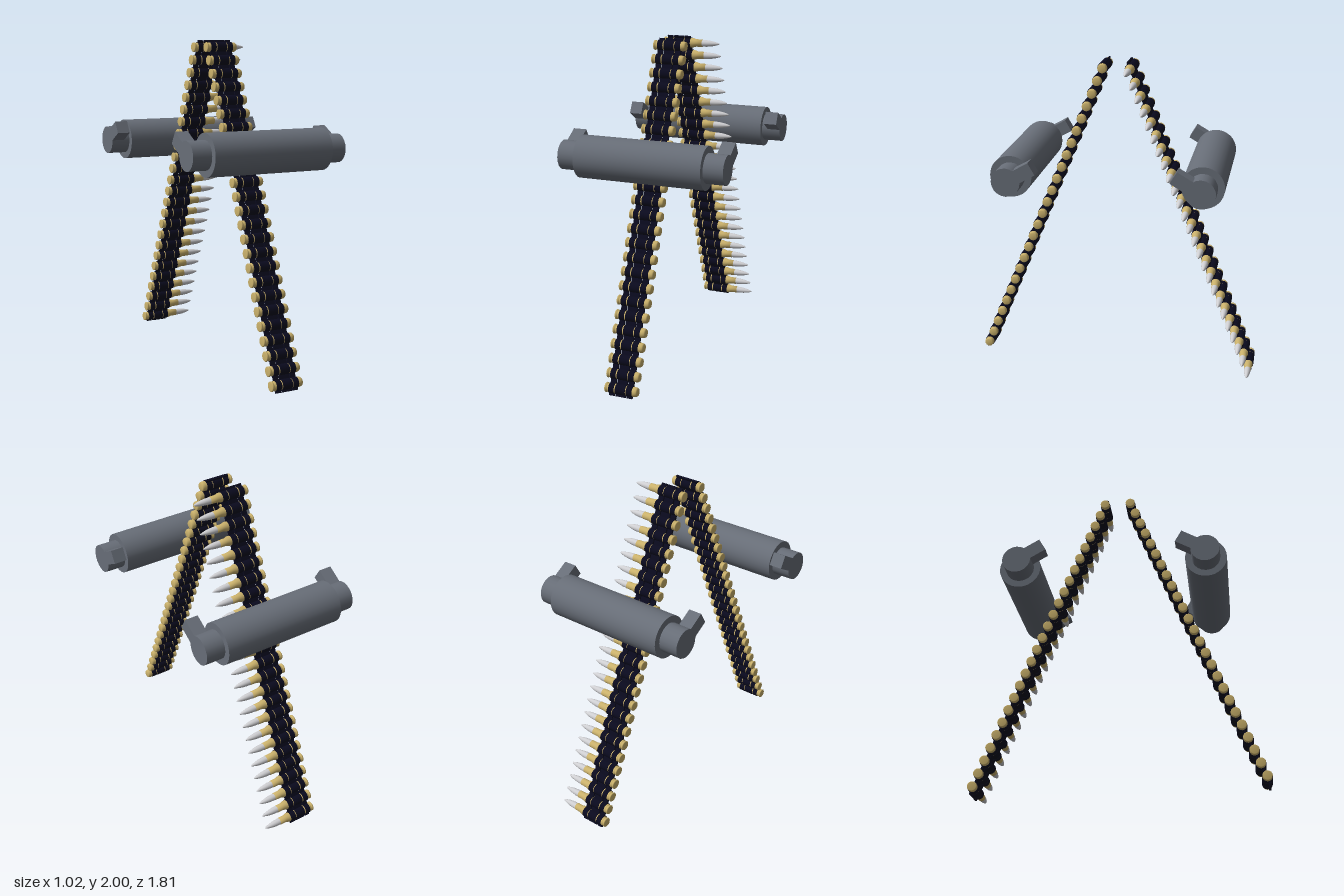
import * as THREE from 'three';

const material = (name, color) => {
  const m = new THREE.MeshStandardMaterial({ color });
  m.name = name;
  return m;
};
const steel = material('grey steel', 0x686e78);
const brass = material('brass', 0xcbb26c);
const silver = material('silver', 0xcfcfd2);
const navy = material('dark navy', 0x0a0a1e);

function part(name, geometry, mat, x = 0, y = 0, z = 0) {
  const mesh = new THREE.Mesh(geometry, mat);
  mesh.name = name;
  mesh.position.set(x, y, z);
  return mesh;
}

// Turned part lying along +x, from [x, radius] pairs
function turned(profile, sides = 16) {
  const pts = profile.map(([x, r]) => new THREE.Vector2(r, x));
  return new THREE.LatheGeometry(pts, sides).rotateZ(-Math.PI / 2);
}
const rod = (r, length, sides) =>
  new THREE.CylinderGeometry(r, r, length, sides).rotateZ(Math.PI / 2);

const COUNT = 25;
const TILT = Math.atan(0.4125);
const LENGTH = 2 / Math.cos(TILT) - 0.004;
const PITCH = 0.0798 / Math.cos(TILT);
const STRIPS = [[-0.102, -0.068], [-0.06, 0.004], [0.01, 0.046]];

const head = [[-0.13, 0], [-0.13, 0.026], [-0.127, 0.03], [-0.12, 0.03],
  [-0.117, 0.025], [-0.111, 0.025], [-0.106, 0.0295]];
const shortCase = turned([...head, [0.058, 0.0295], [0.07, 0.028], [0.077, 0.023], [0.077, 0]]);
const neckedCase = turned([...head, [0.058, 0.0295], [0.077, 0.0235], [0.12, 0.0225], [0.12, 0]]);
const bullet = turned([[0.118, 0.021], [0.145, 0.0205], [0.17, 0.018], [0.195, 0.0135],
  [0.215, 0.008], [0.226, 0.004], [0.23, 0]]);
const rings = STRIPS.map(([a, b]) => rod(0.0325, b - a, 16));

// Belt of cartridges held in three rows of link rings joined by thin strips
function makeBelt(name, side, tipped) {
  const belt = new THREE.Group();
  belt.name = name;
  for (const [a, b] of STRIPS) {
    belt.add(part('linkStrip', new THREE.BoxGeometry(b - a, LENGTH, 0.012), navy, (a + b) / 2));
  }
  for (let i = 0; i < COUNT; i++) {
    const y = (i - (COUNT - 1) / 2) * PITCH;
    belt.add(part('case', tipped ? neckedCase : shortCase, brass, 0, y));
    if (tipped) belt.add(part('bullet', bullet, silver, 0, y));
    STRIPS.forEach(([a, b], k) => belt.add(part('linkRing', rings[k], navy, (a + b) / 2, y)));
  }
  belt.position.set(0, 1, side * 0.479);
  belt.rotation.x = -side * TILT;
  return belt;
}

// Roller with stepped ends, each carrying a lever pointing up towards the belt
function makeRoller(name, side) {
  const roller = new THREE.Group();
  roller.name = name;
  roller.add(part('barrel', rod(0.128, 0.785, 32), steel));
  for (const s of [-1, 1]) {
    roller.add(part('endCap', rod(0.088, 0.122, 20), steel, s * 0.451));
    const lever = new THREE.BoxGeometry(0.082, 0.083, 0.185);
    lever.translate(0, 0, -side * 0.0925);
    lever.rotateX(side * Math.PI / 6);
    roller.add(part('lever', lever, steel, s * 0.471));
  }
  roller.position.set(0, 1.355, side * 0.578);
  return roller;
}

export function createModel() {
  const model = new THREE.Group();
  model.name = 'beltsAndRollers';
  model.add(
    makeBelt('frontBelt', 1, false),
    makeBelt('backBelt', -1, true),
    makeRoller('frontRoller', 1),
    makeRoller('backRoller', -1),
  );
  return model;
}
